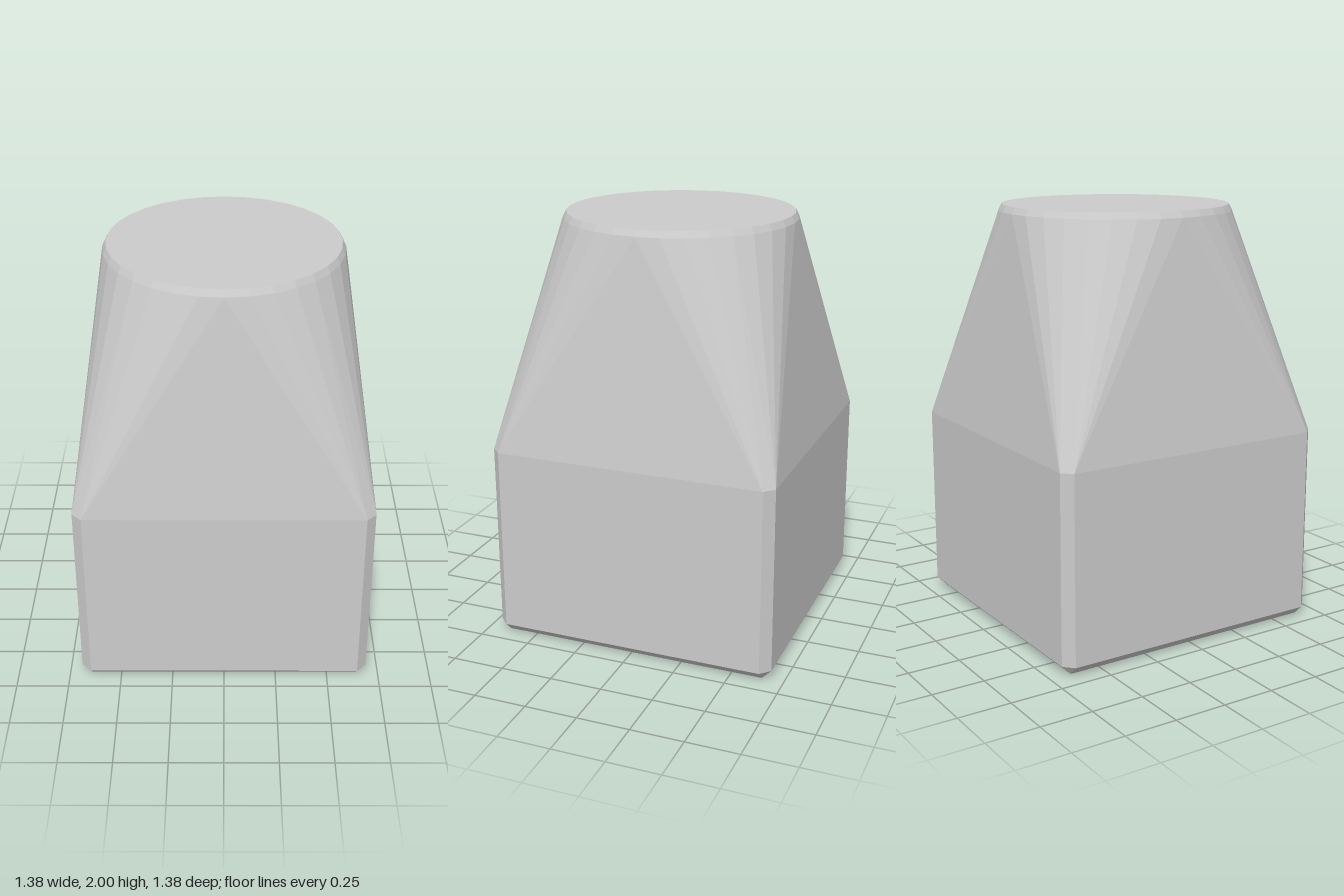
import * as THREE from 'three';
import { ConvexGeometry } from 'three/addons/geometries/ConvexGeometry.js';

const HALF = 0.69;    // half width of the square base
const INNER = 0.645;  // half width inside the bevel
const SIDES = 32;     // sides of the round top

// Four mirrored copies of a corner point
function corners(x, y, z) {
  return [[1, 1], [1, -1], [-1, -1], [-1, 1]].map(([sx, sz]) => new THREE.Vector3(sx * x, y, sz * z));
}

function ring(radius, y) {
  return Array.from({ length: SIDES }, (_, i) => {
    const a = (i / SIDES) * Math.PI * 2;
    return new THREE.Vector3(Math.cos(a) * radius, y, Math.sin(a) * radius);
  });
}

export function createModel() {
  const group = new THREE.Group();
  group.name = 'squareToRoundBlock';

  const points = [
    // Bottom face, inside its bevel
    ...corners(INNER, 0, INNER),
    // Chamfered square shaft
    ...[0.045, 0.935].flatMap((y) => [...corners(HALF, y, INNER), ...corners(INNER, y, HALF)]),
    // Round top with a narrow bevel
    ...ring(0.553, 1.97),
    ...ring(0.537, 2),
  ];

  // The square shaft blends to the round top as one convex skin
  const material = new THREE.MeshStandardMaterial({ color: 0xcccccc, flatShading: true });
  const body = new THREE.Mesh(new ConvexGeometry(points), material);
  body.name = 'body';
  group.add(body);
  return group;
}
